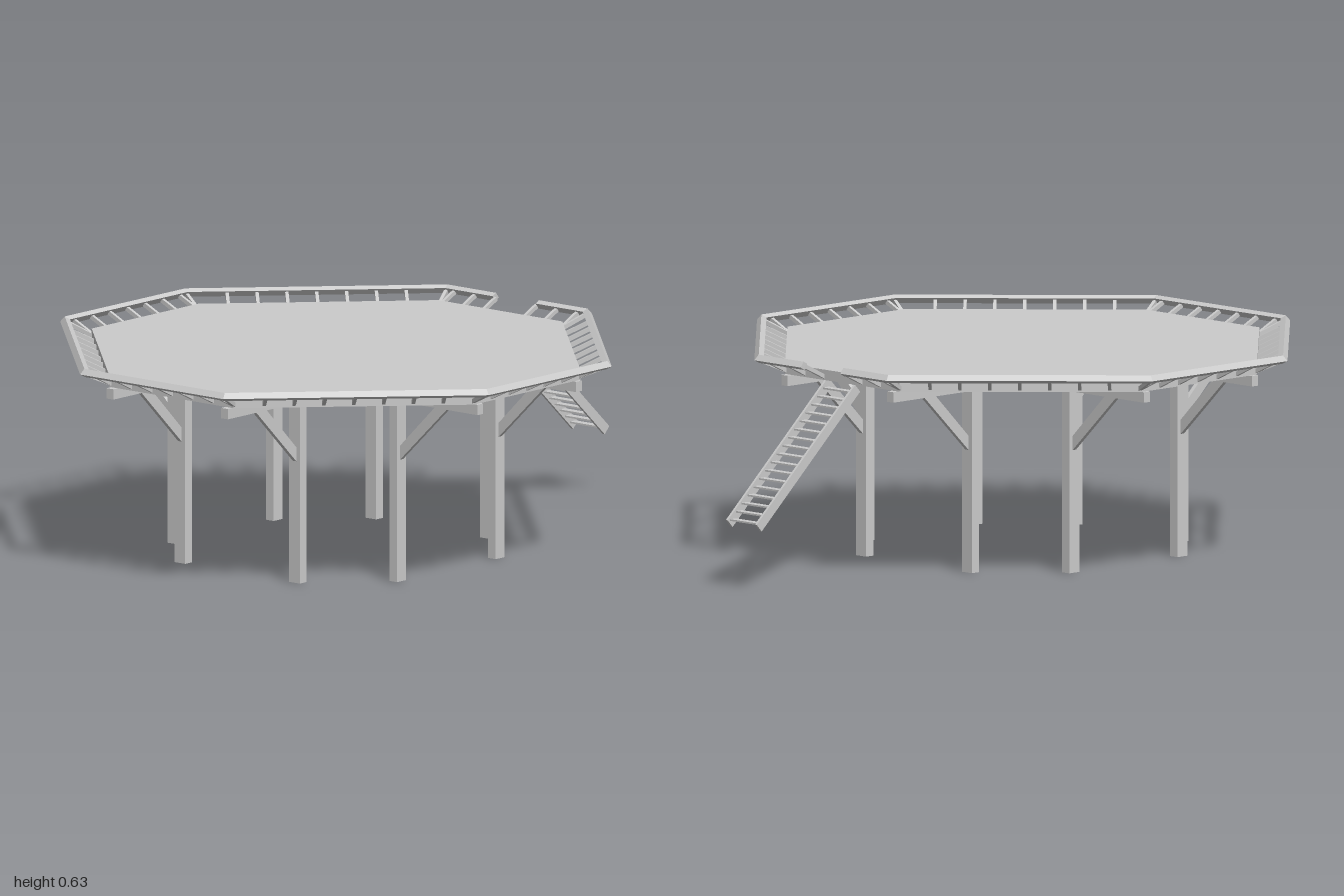
import * as THREE from 'three';

const CZ = 0.16;                 // deck centre along z
const DECK = 0.74;               // deck half width
const TOP = 0.602, UNDER = 0.571, BEAM = 0.54;
const GAP = 0.083;               // half width of the stair opening
const mat = new THREE.MeshStandardMaterial({ color: 0xcccccc, flatShading: true });

// half length of the straight sides of the octagon at half width r
const half = (r) => 0.24 + (r - DECK) * 0.414;

// octagon corners as [x, z], running from the back round the +x side
function octagon(r) {
  const c = half(r);
  return [[c, -r], [r, -c], [r, c], [c, r], [-c, r], [-r, c], [-r, -c], [-c, -r]];
}

function add(parent, geometry, name, x = 0, y = 0, z = 0) {
  const mesh = new THREE.Mesh(geometry, mat);
  mesh.name = name;
  mesh.position.set(x, y, z);
  parent.add(mesh);
  return mesh;
}

// box of section w by h from point a to point b
function bar(parent, name, a, b, w, h) {
  const mesh = add(parent, new THREE.BoxGeometry(w, h, a.distanceTo(b)), name);
  mesh.position.copy(a).lerp(b, 0.5);
  mesh.lookAt(b);
  return mesh;
}

// tilted rail section swept round the octagon with mitred corners
function railGeometry() {
  const section = [[0.83, 0.617], [0.817, 0.633], [0.802, 0.625], [0.815, 0.608]];
  const rings = section.map(([r, y]) =>
    [[GAP, -r], ...octagon(r), [-GAP, -r]].map(([x, z]) => [x, y, z]));
  const pos = [];
  const quad = (a, b, c, d) => pos.push(...a, ...b, ...c, ...a, ...c, ...d);
  for (let k = 0; k < 4; k++) {
    const p = rings[k], q = rings[(k + 1) % 4];
    for (let i = 0; i < p.length - 1; i++) quad(p[i], q[i], q[i + 1], p[i + 1]);
  }
  const end = rings.map((r) => r[r.length - 1]);
  const start = rings.map((r) => r[0]).reverse();
  quad(...end);
  quad(...start);
  const g = new THREE.BufferGeometry();
  g.setAttribute('position', new THREE.Float32BufferAttribute(pos, 3));
  g.computeVertexNormals();
  return g;
}

function buildRailing() {
  const railing = new THREE.Group();
  railing.name = 'railing';
  add(railing, railGeometry(), 'handrail');

  // balusters lean outward from the deck edge to the rail
  const inner = octagon(DECK - 0.005), outer = octagon(0.815);
  const spacing = 0.078;
  const baluster = (a, b) => bar(railing, 'baluster',
    new THREE.Vector3(a[0], 0.58, a[1]), new THREE.Vector3(b[0], 0.617, b[1]), 0.01, 0.012);
  for (let i = 0; i < 8; i++) {
    baluster(inner[i], outer[i]);
    const a = inner[i], b = inner[(i + 1) % 8];
    const diagonal = i % 2 === 0;
    const n = diagonal ? 8 : 6;
    const nx = (a[0] + b[0]), nz = (a[1] + b[1]);
    const len = Math.hypot(nx, nz);
    const out = [nx / len * 0.077, nz / len * 0.077];
    for (let k = diagonal ? 1 : 0; k < (diagonal ? n : n + 1); k++) {
      const t = k / n;
      const p = [a[0] + (b[0] - a[0]) * t, a[1] + (b[1] - a[1]) * t];
      if (i === 7 && Math.abs(p[0]) < spacing) continue; // stair opening
      baluster(p, [p[0] + out[0], p[1] + out[1]]);
    }
  }
  return railing;
}

function buildFrame() {
  const frame = new THREE.Group();
  frame.name = 'supportFrame';
  const braceShape = new THREE.Shape([[0.44, 0.36], [0.627, BEAM], [0.58, BEAM], [0.44, 0.402]]
    .map(([x, y]) => new THREE.Vector2(x, y)));
  const brace = new THREE.ExtrudeGeometry(braceShape, { depth: 0.014, bevelEnabled: false });
  // four identical sides, each with two posts and two braces
  for (let q = 0; q < 4; q++) {
    const side = new THREE.Group();
    side.name = 'supportSide';
    side.rotation.y = q * Math.PI / 2;
    for (const s of [-1, 1]) {
      add(side, new THREE.BoxGeometry(0.03, BEAM, 0.041), 'post', 0.43, BEAM / 2, s * 0.222);
      add(side, brace, 'brace', 0, 0, s * 0.222 - 0.007);
      if (q < 2) {
        add(side, new THREE.BoxGeometry(q ? 1.52 : 1.5, UNDER - BEAM, 0.026), 'beam',
          0, (UNDER + BEAM) / 2, s * 0.222);
      }
    }
    frame.add(side);
  }
  return frame;
}

function buildStairs() {
  const stairs = new THREE.Group();
  stairs.name = 'stairs';
  const top = new THREE.Vector3(0, 0.562, -0.58), foot = new THREE.Vector3(0, 0.19, -0.985);
  for (const s of [-1, 1]) {
    const shift = new THREE.Vector3(s * 0.061, 0, 0);
    bar(stairs, 'stringer', top.clone().add(shift), foot.clone().add(shift), 0.008, 0.03);
  }
  const count = 17;
  for (let i = 0; i < count; i++) {
    const p = top.clone().lerp(foot, (i + 0.5) / count);
    add(stairs, new THREE.BoxGeometry(0.116, 0.005, 0.024), 'tread', p.x, p.y, p.z);
  }
  return stairs;
}

export function createModel() {
  const model = new THREE.Group();
  model.name = 'raisedDeck';

  const body = new THREE.Group();
  body.name = 'platform';
  body.position.z = CZ;
  model.add(body);

  // octagonal deck slab
  const outline = new THREE.Shape(octagon(DECK).map(([x, z]) => new THREE.Vector2(x, -z)));
  const slab = new THREE.ExtrudeGeometry(outline, { depth: TOP - UNDER, bevelEnabled: false });
  slab.rotateX(-Math.PI / 2);
  add(body, slab, 'deck', 0, UNDER, 0);

  body.add(buildRailing(), buildFrame());
  model.add(buildStairs());
  return model;
}
